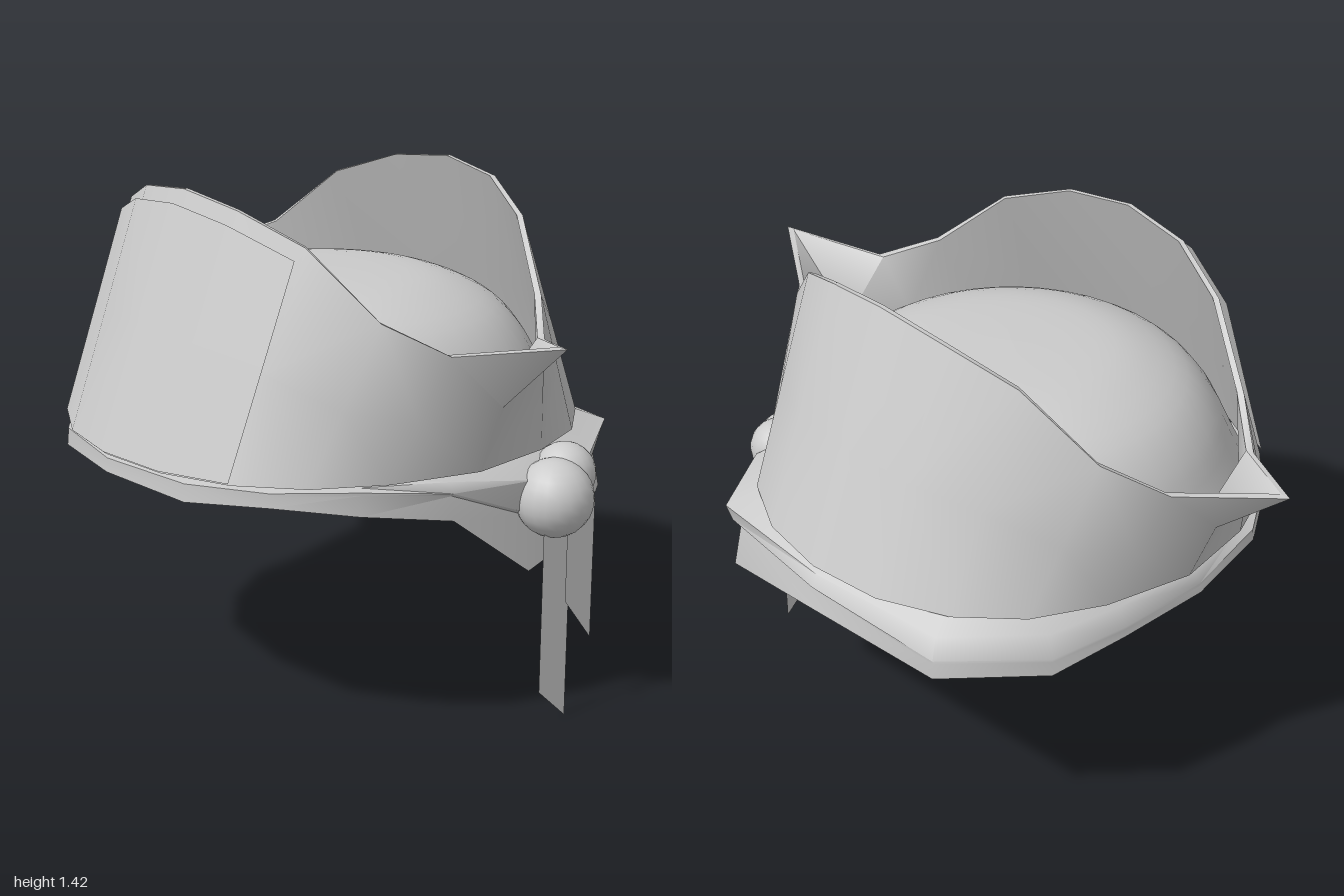
import * as THREE from 'three';
import { toCreasedNormals } from 'three/addons/utils/BufferGeometryUtils.js';

const grey = new THREE.MeshStandardMaterial({ color: 0xcccccc, side: THREE.DoubleSide });

const mix = (a, b, t) => a.map((v, i) => v + (b[i] - v) * t);
const gap = (a, b) => Math.hypot(a[0] - b[0], a[1] - b[1], a[2] - b[2]);

// Surface through rows of points; rows run from bottom to top, columns from front towards +x.
// Each quad is split along its shorter diagonal.
function loft(rows, closed) {
  const pos = [];
  const n = rows[0].length;
  for (let i = 0; i < rows.length - 1; i++) {
    for (let j = 0; j < (closed ? n : n - 1); j++) {
      const k = (j + 1) % n;
      const a = rows[i][j], b = rows[i][k], c = rows[i + 1][k], d = rows[i + 1][j];
      if (gap(a, c) < gap(b, d)) pos.push(...a, ...b, ...c, ...a, ...c, ...d);
      else pos.push(...a, ...b, ...d, ...b, ...c, ...d);
    }
  }
  const geo = new THREE.BufferGeometry();
  geo.setAttribute('position', new THREE.Float32BufferAttribute(pos, 3));
  geo.computeVertexNormals();
  return toCreasedNormals(geo, 0.85);
}

// Mirror a quarter outline (front centre to +x side) into a full ring.
function ring(quarter) {
  const flip = (p, sx, sz) => [p[0] * sx, p[1], p[2] * sz];
  const last = quarter.length - 1;
  const back = quarter.slice(0, last).reverse();
  return [
    ...quarter,
    ...back.map(p => flip(p, 1, -1)),
    ...quarter.slice(1).map(p => flip(p, -1, -1)),
    ...back.slice(0, last - 1).map(p => flip(p, -1, 1)),
  ];
}

// Quarter outlines of the upturned brim: foot, waist and top edge
const foot = [[0, 0.75, 0.70], [0.22, 0.75, 0.67], [0.41, 0.75, 0.58],
  [0.55, 0.75, 0.44], [0.64, 0.75, 0.25], [0.69, 0.75, 0]];
const edge = [[0, 1.425, 0.445], [0.22, 1.40, 0.425], [0.42, 1.33, 0.355],
  [0.61, 1.16, 0.26], [0.75, 1.09, 0.15], [1, 1.14, 0]];
const waist = foot.map((p, i) => mix(p, edge[i], 0.47));
waist[5] = [0.77, 0.94, 0];

// Inner outline of the brim; the pointed sides need their own inner corner.
const inner = (outline, scale, cornerX) => outline.map(([x, y, z], i) =>
  i === 5 ? [cornerX, y, 0] : [x * scale, y, z * scale]);

// Head scarf outline from the front round by +x: x, z, lower edge y, fold y, fold depth
const scarf = [
  [0, 0.70, 0.70, 0.73, 0], [0.30, 0.65, 0.69, 0.73, 0], [0.49, 0.52, 0.70, 0.73, 0],
  [0.62, 0.33, 0.675, 0.73, 0], [0.67, 0.07, 0.625, 0.69, 0.01], [0.66, -0.20, 0.425, 0.58, 0.03],
  [0.62, -0.42, 0.475, 0.59, 0.03], [0.43, -0.66, 0.515, 0.655, 0.03], [0, -0.71, 0.615, 0.675, 0.01],
  [-0.43, -0.66, 0.605, 0.65, 0], [-0.62, -0.42, 0.60, 0.64, 0], [-0.66, -0.20, 0.635, 0.655, 0],
  [-0.67, 0.07, 0.65, 0.67, 0], [-0.62, 0.33, 0.675, 0.70, 0], [-0.49, 0.52, 0.70, 0.73, 0],
  [-0.30, 0.65, 0.69, 0.73, 0],
];

export function createModel() {
  const group = new THREE.Group();
  const add = (name, geo) => {
    const mesh = new THREE.Mesh(geo, grey);
    mesh.name = name;
    group.add(mesh);
    return mesh;
  };

  // Brim: outer wall, thin rim, inner wall
  add('upturnedBrim', loft([
    ring(foot), ring(waist), ring(edge),
    ring(inner(edge, 0.97, 0.97)),
    ring(inner(waist, 0.97, 0.72)),
    ring(inner(foot, 0.98, 0.675)),
  ], true));

  // Panel set on the front of the brim
  const panelRow = (t, lift) => {
    const right = [0, 1, 2].map(k => mix(foot[k], edge[k], t)).map(p => [p[0], p[1], p[2] + lift]);
    const left = right.slice(1).reverse().map(p => [-p[0], p[1], p[2]]);
    return [...left, ...right];
  };
  add('frontPanel', loft([
    panelRow(0.01, 0.01), panelRow(0.5, 0.016), panelRow(0.95, 0.022),
  ], false));

  // Domed crown, open underneath
  const dome = new THREE.SplineCurve([
    [0.675, 0.75], [0.615, 0.87], [0.56, 0.98], [0.48, 1.07], [0.36, 1.13], [0.23, 1.155], [0, 1.163],
  ].map(p => new THREE.Vector2(...p)));
  add('crown', new THREE.LatheGeometry(dome.getPoints(18), 40));

  // Head scarf: lining, lower layer, then the upper layer overlapping it at the fold
  const scarfRow = (scale, height, depth = 0) => scarf.map(([x, z, low, fold, d]) => {
    const s = scale + d * depth;
    return [x * s, height(low, fold), z * s];
  });
  add('headScarf', loft([
    scarfRow(0.88, () => 0.74),
    scarfRow(0.95, (low, fold) => fold, -1),
    scarfRow(0.99, low => low + 0.003),
    scarfRow(1.0, low => low),
    scarfRow(0.995, (low, fold) => fold, -1),
    scarfRow(0.995, (low, fold) => fold + 0.008),
    scarfRow(0.955, (low, fold) => fold + (0.75 - fold) * 0.6, 2),
    scarfRow(0.88, () => 0.75),
  ], true));

  // Knot: two round lobes
  for (const [x, y, z, r] of [[0.68, 0.625, -0.265, 0.107], [0.64, 0.67, -0.335, 0.085]]) {
    add('knotLobe', new THREE.SphereGeometry(r, 20, 14)).position.set(x, y, z);
  }

  // Hanging tails with slanted ends
  for (const [x, z0, z1, top, y0, y1] of [
    [0.71, -0.205, -0.30, 0.60, 0.09, 0], [0.73, -0.27, -0.365, 0.62, 0.345, 0.22]]) {
    add('scarfTail', loft([
      [[x, y0, z0], [x, y1, z1]],
      [[x, top, z0], [x, top, z1]],
    ], false));
  }

  return group;
}
